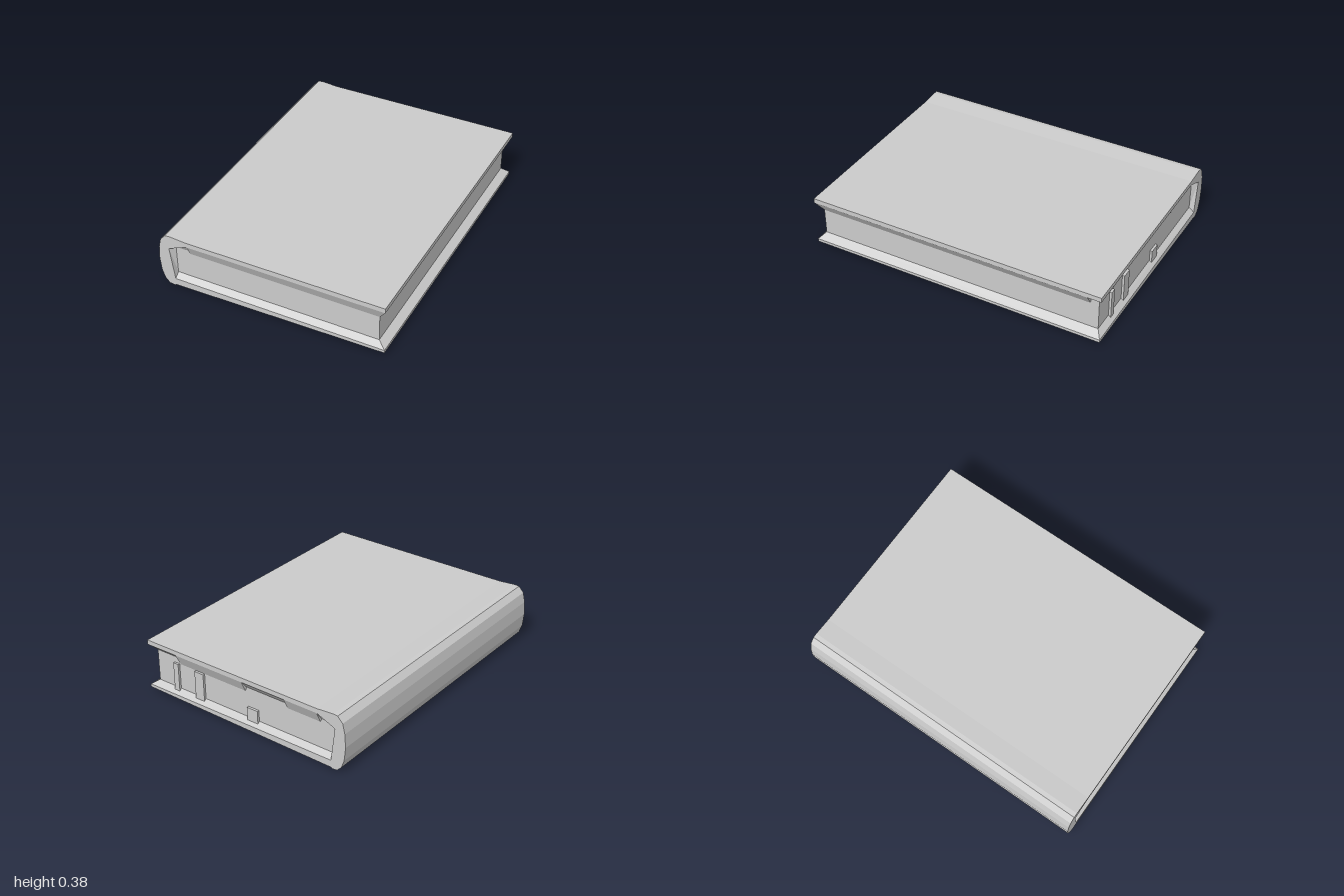
import * as THREE from 'three';

const material = new THREE.MeshStandardMaterial({ color: 0xcccccc, flatShading: true, side: THREE.DoubleSide });

function addMesh(parent, name, geometry) {
  const mesh = new THREE.Mesh(geometry, material);
  mesh.name = name;
  parent.add(mesh);
  return mesh;
}

// Skin a list of cross-sections, each an equal-length list of [x, y, z]
function skin(sections) {
  const positions = [];
  for (let s = 0; s < sections.length - 1; s++) {
    const a = sections[s], b = sections[s + 1];
    for (let i = 0; i < a.length - 1; i++) {
      positions.push(...a[i], ...a[i + 1], ...b[i + 1], ...a[i], ...b[i + 1], ...b[i]);
    }
  }
  const geometry = new THREE.BufferGeometry();
  geometry.setAttribute('position', new THREE.Float32BufferAttribute(positions, 3));
  geometry.computeVertexNormals();
  return geometry;
}

const flatShape = (points, z) =>
  new THREE.ShapeGeometry(new THREE.Shape(points.map(([x, y]) => new THREE.Vector2(x, y)))).translate(0, 0, z);

// Cover outline: bottom board, rounded spine, top board
const outline = [
  [0.76, 0.05], [0.76, 0.03], [-0.66, 0.007], [-0.67, 0], [-0.705, 0.005], [-0.735, 0.035], [-0.755, 0.09],
  [-0.765, 0.18], [-0.76, 0.27], [-0.745, 0.335], [-0.71, 0.372], [-0.68, 0.375],
  [-0.56, 0.366], [0.76, 0.366], [0.76, 0.335],
];
// Inner edge of the cover at each end
const opening = [[-0.56, 0.335], [-0.69, 0.28], [-0.66, 0.055]];

const END = 1, PAGE_END = 0.965;

// Pairs: point on the cover edge, matching point on the page block
const spineSide = [
  [-0.56, 0.335, -0.56, 0.26], [-0.56, 0.335, -0.57, 0.28], [-0.69, 0.28, -0.66, 0.28],
  [-0.66, 0.055, -0.66, 0.085], [0.76, 0.05, 0.71, 0.085],
];
const frontPairs = [[0.76, 0.335, 0.71, 0.26], ...spineSide];
// The back has shallow recesses under the top board
const backPairs = [
  [0.76, 0.335, 0.71, 0.3], [0.53, 0.335, 0.53, 0.3], [0.53, 0.335, 0.52, 0.26],
  [0, 0.335, 0, 0.26], [0, 0.335, -0.01, 0.29], [-0.32, 0.335, -0.31, 0.29], [-0.32, 0.335, -0.32, 0.26],
  ...spineSide,
];

function makeEnd(name, pairs) {
  const end = new THREE.Group();
  end.name = name;
  addMesh(end, 'coverRim', flatShape([...outline, ...opening], END));
  addMesh(end, 'slopedLining', skin([
    pairs.map(([x, y]) => [x, y, END]),
    pairs.map(([, , x, y]) => [x, y, PAGE_END]),
  ]));
  addMesh(end, 'pageEnd', flatShape(pairs.map(([, , x, y]) => [x, y]), PAGE_END));
  return end;
}

export function createModel() {
  const book = new THREE.Group();
  book.name = 'book';

  // Boards and spine
  addMesh(book, 'cover', skin([END, -END].map(z => outline.map(([x, y]) => [x, y, z]))));

  // Page ends inside the cover
  book.add(makeEnd('frontEnd', frontPairs));
  const back = makeEnd('backEnd', backPairs);
  back.scale.z = -1;
  book.add(back);

  // Fore edge with sloped ledges, stepped near the back corner
  const foreSection = (zOuter, zInner, top) => [
    [0.76, 0.335, zOuter], [0.71, top, zInner], [0.71, 0.085, zInner], [0.76, 0.05, zOuter],
  ];
  addMesh(book, 'foreEdge', skin([
    foreSection(END, PAGE_END, 0.26),
    foreSection(-0.91, -0.91, 0.26),
    foreSection(-0.91, -0.91, 0.3),
    foreSection(-END, -PAGE_END, 0.3),
  ]));

  // Small ribs on the back page end
  for (const [x, width, height] of [[0.55, 0.04, 0.2], [0.36, 0.07, 0.2], [-0.06, 0.08, 0.1]]) {
    const rib = addMesh(book, 'pageRib', new THREE.BoxGeometry(width, height, 0.02));
    rib.position.set(x, 0.06 + height / 2, -0.97);
  }

  return book;
}
